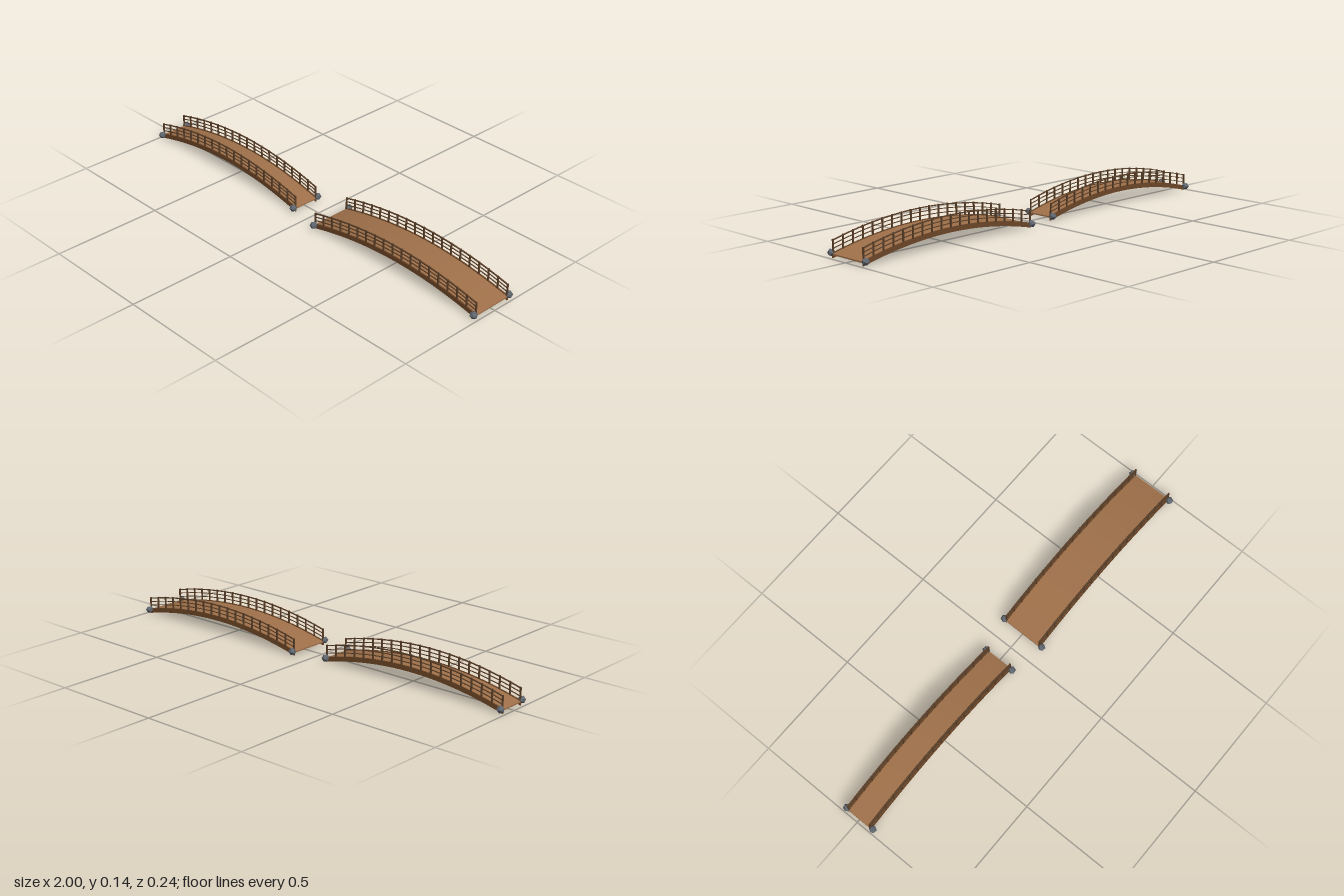
import * as THREE from 'three';

const HALF = 0.455;   // half the span of a bridge
const BAYS = 18;      // railing bays per side
const END_Y = 0.018;  // deck height at the ends

const mat = (name, color, flatShading = false) => {
  const m = new THREE.MeshStandardMaterial({ color, flatShading });
  m.name = name;
  return m;
};

export function createModel() {
  const deckWood = mat('deck wood', 0xa0714a);
  const beamWood = mat('beam wood', 0x6e4727);
  const railWood = mat('railing wood', 0x5a3f28);
  const stone = mat('stone', 0x5f666e, true);

  const add = (group, name, geometry, material, x = 0, y = 0, z = 0) => {
    const mesh = new THREE.Mesh(geometry, material);
    mesh.name = name;
    mesh.position.set(x, y, z);
    group.add(mesh);
    return mesh;
  };

  function bridge(name, cx, halfWidth, crown) {
    const g = new THREE.Group();
    g.name = name;
    const deckY = x => crown - (crown - END_Y) * (x / HALF) ** 2;

    // Arched strip between two heights relative to the deck surface
    const ribbon = (low, high, depth) => {
      const lower = [], upper = [];
      for (let i = 0; i <= BAYS * 2; i++) {
        const x = -HALF + (i / BAYS) * HALF;
        lower.push(new THREE.Vector2(x, deckY(x) + low));
        upper.unshift(new THREE.Vector2(x, deckY(x) + high));
      }
      const shape = new THREE.Shape([...lower, ...upper]);
      return new THREE.ExtrudeGeometry(shape, { depth, bevelEnabled: false })
        .translate(0, 0, -depth / 2);
    };

    add(g, 'deck', ribbon(-0.006, 0, halfWidth * 2 - 0.004), deckWood);

    for (const side of [-1, 1]) {
      const z = side * halfWidth;
      add(g, 'sideBeam', ribbon(-0.018, 0.003, 0.006), beamWood, 0, 0, z);

      // Railing: three arched rails and evenly spaced posts
      const railing = new THREE.Group();
      railing.name = 'railing';
      g.add(railing);
      add(railing, 'topRail', ribbon(0.051, 0.055, 0.006), railWood, 0, 0, z);
      for (const h of [0.019, 0.036])
        add(railing, 'midRail', ribbon(h - 0.0015, h + 0.0015, 0.004), railWood, 0, 0, z);
      const post = new THREE.BoxGeometry(0.005, 0.057, 0.007);
      for (let i = 0; i <= BAYS; i++) {
        const x = (i / BAYS * 2 - 1) * (HALF - 0.003);
        add(railing, 'post', post, railWood, x, deckY(x) + 0.0285, z);
      }

      // Boulders at the corners
      for (const end of [-1, 1]) {
        const rock = add(g, 'boulder', new THREE.IcosahedronGeometry(0.0175, 0), stone,
          end * (HALF - 0.004), 0.02, side * (halfWidth + 0.0115));
        rock.rotation.y = Math.PI / 2 + end * side * 0.15;
        rock.scale.y = 0.95;
      }
    }
    g.position.set(cx, 0, 0.002);
    return g;
  }

  const model = new THREE.Group();
  model.name = 'archedFootbridges';
  model.add(bridge('narrowBridge', -0.532, 0.06, 0.08));
  model.add(bridge('wideBridge', 0.532, 0.092, 0.075));
  return model;
}
